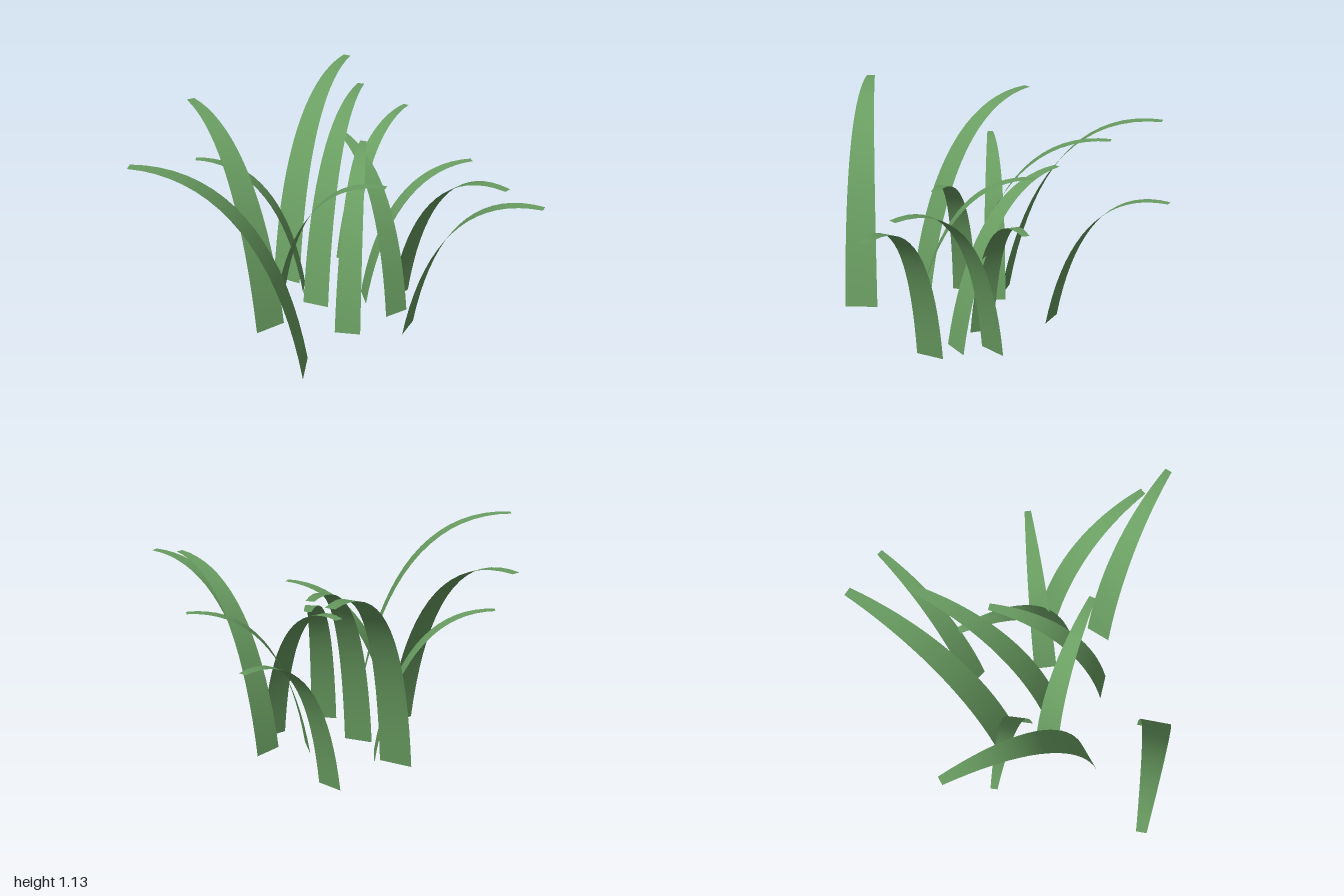
import * as THREE from 'three';

// base x, base z, tip x, tip z, height, base width
const BLADES = [
  [-0.405, 0.25, -0.985, -0.32, 1.12, 0.18],
  [-0.345, -0.15, -0.29, -0.935, 1.08, 0.172],
  [0.005, -0.485, 0.735, -0.832, 1.13, 0.172],
  [-0.015, -0.175, 0.625, -0.567, 1.06, 0.15],
  [-0.045, 0.15, 0.4, -0.27, 0.87, 0.14],
  [0.04, -0.36, -0.395, -0.74, 0.82, 0.13],
  [0.407, -0.437, 0.993, -0.575, 0.83, 0.13],
  [0.245, -0.063, 0.775, 0.2, 0.82, 0.13],
  [0.29, 0.172, 0.37, -0.465, 0.88, 0.138],
  [-0.163, -0.32, 0.16, 0.2, 0.85, 0.136],
  [0.428, 0.04, 0.477, 0.727, 0.95, 0.145],
  [0.248, 0.313, 0.518, 0.922, 0.92, 0.146],
];
const LEAN = 0.2; // forward lean at the root, as a share of the reach
const TIP = 0.26; // tip width as a share of the base width

// A flat strip that rises from the root and arches over to a level tip
function bladeGeometry(reach, height, width) {
  const geo = new THREE.PlaneGeometry(1, 1, 2, 18);
  const pos = geo.attributes.position;
  for (let i = 0; i < pos.count; i++) {
    const t = pos.getY(i) + 0.5;
    const out = 2 * t * (1 - t) * LEAN + t * t;
    const up = 1 - (1 - t) ** 2;
    const w = width * (1 - (1 - TIP) * out);
    pos.setXYZ(i, pos.getX(i) * w, up * height, out * reach);
  }
  geo.computeVertexNormals();
  return geo;
}

export function createModel() {
  const group = new THREE.Group();
  group.name = 'grassTuft';
  const green = new THREE.MeshStandardMaterial({ color: 0x6a9e62, side: THREE.DoubleSide });
  BLADES.forEach(([x, z, tipX, tipZ, height, width], i) => {
    const dx = tipX - x, dz = tipZ - z;
    const blade = new THREE.Mesh(bladeGeometry(Math.hypot(dx, dz), height, width), green);
    blade.name = `grassBlade${i + 1}`;
    blade.position.set(x, 0, z);
    blade.rotation.y = Math.atan2(dx, dz);
    group.add(blade);
  });
  return group;
}
